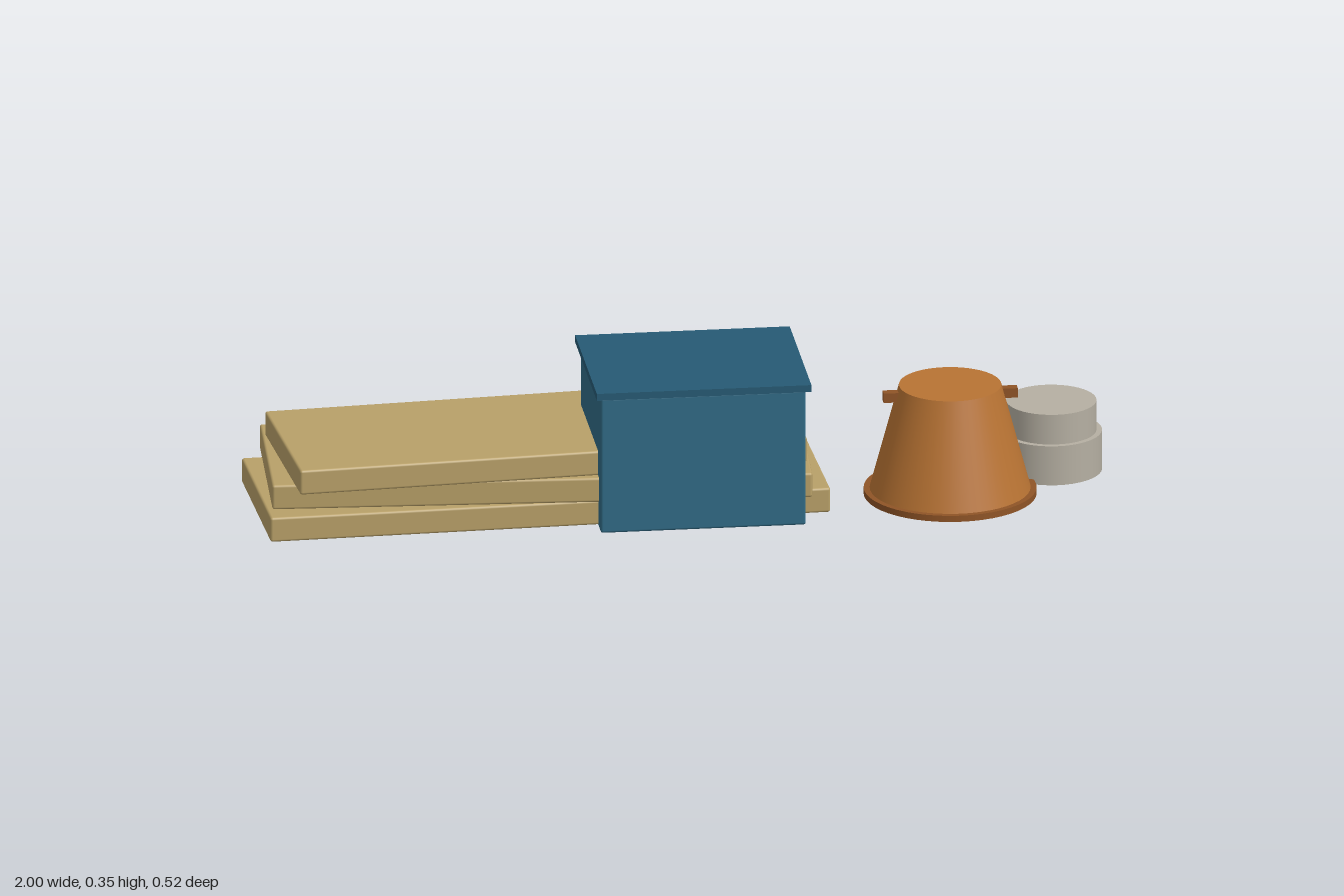
import * as THREE from 'three';
import { RoundedBoxGeometry } from 'three/addons/geometries/RoundedBoxGeometry.js';

const paint = (color) => new THREE.MeshStandardMaterial({ color });

export function createModel() {
  const group = new THREE.Group();
  const wood = paint(0xb8a068);
  const blue = paint(0x306a85);
  const darkBlue = paint(0x265a74);
  const copper = paint(0xb87333);
  const darkCopper = paint(0x8f5426);
  const stone = paint(0xb5afa2);

  const add = (name, geometry, material, x, y, z, parent = group) => {
    const mesh = new THREE.Mesh(geometry, material);
    mesh.name = name;
    mesh.position.set(x, y, z);
    parent.add(mesh);
    return mesh;
  };

  // Stack of three planks, each twisted a little
  const planks = [
    { length: 1.317, width: 0.425, turn: 0.036 },
    { length: 1.257, width: 0.43, turn: -0.055 },
    { length: 1.2, width: 0.425, turn: 0.072 },
  ];
  planks.forEach(({ length, width, turn }, i) => {
    const geometry = new RoundedBoxGeometry(length, 0.06, width, 2, 0.006);
    add('plank' + (i + 1), geometry, wood, -0.334, 0.04 + i * 0.06, -0.005).rotation.y = turn;
  });

  // Storage box with an overhanging lid
  add('boxBody', new RoundedBoxGeometry(0.48, 0.332, 0.384, 2, 0.006), blue, 0.026, 0.171, 0.058);
  add('boxLid', new THREE.BoxGeometry(0.502, 0.017, 0.41), darkBlue, 0.026, 0.3455, 0.058);

  // Tapered bucket standing upside down, with a rim and two side lugs
  const bucket = new THREE.Group();
  bucket.name = 'bucket';
  bucket.position.set(0.627, 0, 0.057);
  group.add(bucket);
  add('bucketBody', new THREE.CylinderGeometry(0.119, 0.19, 0.264, 48), copper, 0, 0.136, 0, bucket);
  add('bucketRim', new THREE.CylinderGeometry(0.201, 0.201, 0.015, 48), darkCopper, 0, 0.0075, 0, bucket);
  for (const side of [-1, 1]) {
    add('bucketLug', new THREE.BoxGeometry(0.04, 0.023, 0.023), darkCopper, side * 0.137, 0.244, 0, bucket);
  }

  // Two stacked round tins
  add('lowerTin', new THREE.CylinderGeometry(0.118, 0.118, 0.096, 40), stone, 0.88, 0.051, -0.075);
  add('upperTin', new THREE.CylinderGeometry(0.105, 0.105, 0.073, 40), stone, 0.88, 0.1355, -0.075);

  return group;
}
